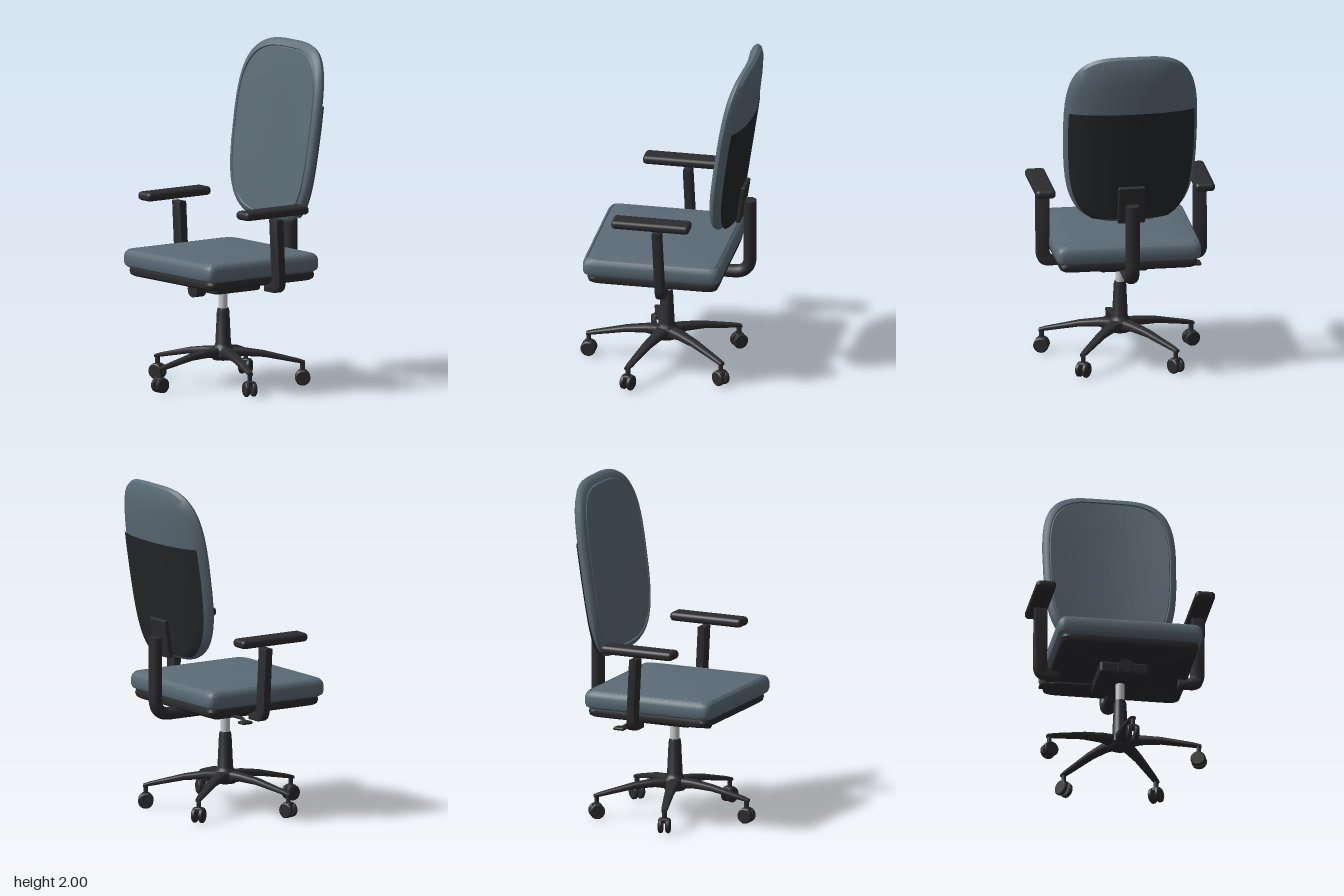
import * as THREE from 'three';
import { toCreasedNormals } from 'three/addons/utils/BufferGeometryUtils.js';
import { RoundedBoxGeometry } from 'three/addons/geometries/RoundedBoxGeometry.js';

const fabric = new THREE.MeshStandardMaterial({ color: 0x5b6b76 });
const plastic = new THREE.MeshStandardMaterial({ color: 0x2c2c2f });
const metal = new THREE.MeshStandardMaterial({ color: 0xcccccc });
const shell = new THREE.MeshStandardMaterial({ color: 0x252729, side: THREE.DoubleSide });

function add(parent, name, geometry, material, x = 0, y = 0, z = 0) {
  const mesh = new THREE.Mesh(geometry, material);
  mesh.name = name;
  mesh.position.set(x, y, z);
  parent.add(mesh);
  return mesh;
}

// Superellipse outline, counter-clockwise; a high power gives a rounded rectangle
function outline(a, b, power, count) {
  const bend = (c) => Math.sign(c) * Math.abs(c) ** (2 / power);
  return Array.from({ length: count }, (_, i) => {
    const t = ((i + 0.5) / count) * Math.PI * 2;
    return [a * bend(Math.cos(t)), b * bend(Math.sin(t))];
  });
}

// Skin over a row of equal rings of [x, y, z], closed at both ends
function loft(rings, crease = 0.6) {
  const n = rings[0].length, index = [], last = (rings.length - 1) * n;
  const mid = (ring) => [0, 1, 2].map((k) => ring.reduce((s, p) => s + p[k], 0) / n);
  const points = [...rings.flat(), mid(rings[0]), mid(rings.at(-1))];
  for (let j = 0; j < n; j++) {
    const k = (j + 1) % n;
    for (let i = 0; i < last; i += n) index.push(i + j, i + k, i + n + k, i + j, i + n + k, i + n + j);
    index.push(last + n, k, j, last + n + 1, last + j, last + k);
  }
  const g = new THREE.BufferGeometry();
  g.setAttribute('position', new THREE.Float32BufferAttribute(points.flat(), 3));
  g.setIndex(index);
  return toCreasedNormals(g, crease);
}

// Horizontal slab from [inset, y] steps, bottom to top
const slab = (a, b, steps) => loft(steps.map(([inset, y]) =>
  outline(a - inset, b - inset, 20, 64).map(([u, v]) => [u, y, -v])));

// Backrest sheet: leans back and wraps forward at the sides
const BACK = { a: 0.397, b: 0.5275, y: 1.4725, power: 3.5 };
const taper = (v) => 1 - 0.05 * Math.max(0, -v / BACK.b);
const sheet = (x, v) => -0.415 - 0.15 * v + 0.06 * (x / 0.4) ** 2;

function tube(points, radius) {
  const path = new THREE.CurvePath();
  const [p0, p1, p2, p3, p4] = points.map((p) => new THREE.Vector3(...p));
  path.add(new THREE.LineCurve3(p0, p1));
  path.add(new THREE.QuadraticBezierCurve3(p1, p2, p3));
  path.add(new THREE.LineCurve3(p3, p4));
  return new THREE.TubeGeometry(path, 48, radius, 16);
}

function makeBase() {
  const base = new THREE.Group();
  base.name = 'base';
  base.position.z = 0.03;
  const profile = [[0, 0.155], [0.06, 0.155], [0.072, 0.18], [0.068, 0.215], [0.05, 0.24],
    [0.046, 0.25], [0.037, 0.44], [0.032, 0.46], [0, 0.46]].map((p) => new THREE.Vector2(...p));
  add(base, 'column', toCreasedNormals(new THREE.LatheGeometry(profile, 32), 0.5), plastic);
  add(base, 'gasLift', new THREE.CylinderGeometry(0.027, 0.027, 0.13, 24), metal, 0, 0.515, 0);
  // [distance, centre height, half width, half height] along a spoke
  const steps = [[0.02, 0.195, 0.04, 0.036], [0.12, 0.2, 0.034, 0.025], [0.24, 0.188, 0.028, 0.019],
    [0.44, 0.145, 0.02, 0.013], [0.48, 0.135, 0.016, 0.01]];
  for (let i = 0; i < 5; i++) {
    const leg = new THREE.Group();
    leg.name = 'leg';
    leg.rotation.y = (i * Math.PI * 2) / 5;
    base.add(leg);
    add(leg, 'spoke', loft(steps.map(([z, y, w, h]) =>
      outline(w, h, 3, 16).map(([u, v]) => [u, y + v, z]))), plastic);
    add(leg, 'casterStem', new THREE.CylinderGeometry(0.014, 0.014, 0.08, 12), plastic, 0, 0.1, 0.465);
    add(leg, 'casterHood', new RoundedBoxGeometry(0.05, 0.03, 0.05, 2, 0.01), plastic, 0, 0.077, 0.465);
    for (const side of [-1, 1]) {
      const rim = [[0, -0.013], [0.038, -0.013], [0.045, -0.007], [0.045, 0.007], [0.038, 0.013], [0, 0.013]];
      const wheel = add(leg, 'wheel', toCreasedNormals(new THREE.LatheGeometry(
        rim.map((p) => new THREE.Vector2(...p)), 24), 0.5), plastic, side * 0.022, 0.046, 0.465);
      wheel.rotation.z = Math.PI / 2;
    }
  }
  return base;
}

function makeSeat() {
  const seat = new THREE.Group();
  seat.name = 'seat';
  add(seat, 'cushion', slab(0.43, 0.411, [[0.022, 0.69], [0.006, 0.702], [0, 0.72], [0, 0.76], [0.006, 0.78],
    [0.016, 0.793], [0.023, 0.796], [0.026, 0.79], [0.029, 0.796], [0.12, 0.803], [0.25, 0.809], [0.4, 0.812]]),
    fabric, 0, 0, 0.045);
  add(seat, 'seatPan', slab(0.43, 0.411, [[0.04, 0.64], [0.026, 0.65], [0.02, 0.672], [0.026, 0.692]]),
    plastic, 0, 0, 0.04);
  // Tilt mechanism under the seat
  add(seat, 'mechanism', new RoundedBoxGeometry(0.29, 0.075, 0.33, 2, 0.018), plastic, 0, 0.603, 0.025);
  const knob = add(seat, 'tensionKnob', new THREE.CylinderGeometry(0.045, 0.045, 0.07, 20), plastic, 0, 0.587, 0.222);
  knob.rotation.x = Math.PI / 2;
  add(seat, 'lever', tube([[-0.12, 0.61, -0.1], [-0.34, 0.61, -0.1], [-0.38, 0.61, -0.1],
    [-0.4, 0.602, -0.11], [-0.43, 0.598, -0.12]], 0.01), plastic);
  add(seat, 'leverPaddle', new RoundedBoxGeometry(0.06, 0.018, 0.07, 2, 0.008), plastic, -0.425, 0.597, -0.12);
  return seat;
}

function makeBackrest() {
  const back = new THREE.Group();
  back.name = 'backrest';
  // [inset, depth] from the back face round to the padded front
  const steps = [[0.38, -0.055], [0.3, -0.055], [0.2, -0.054], [0.12, -0.05], [0.05, -0.04], [0.012, -0.022],
    [0, 0], [0.004, 0.014], [0.016, 0.028], [0.036, 0.038], [0.041, 0.03], [0.046, 0.04],
    [0.12, 0.045], [0.2, 0.046], [0.3, 0.046], [0.38, 0.046]];
  add(back, 'backCushion', loft(steps.map(([inset, d]) =>
    outline(BACK.a - inset, BACK.b - inset * (inset > 0.05 ? 1.3 : 1.1), BACK.power, 64).map(([u, v]) => {
      const x = u * taper(v);
      return [x, BACK.y + v, sheet(x, v) + d];
    }))), fabric);
  // Dark shell wrapped over the lower back
  const panel = new THREE.PlaneGeometry(2, 1, 28, 24), p = panel.attributes.position;
  for (let i = 0; i < p.count; i++) {
    const u = p.getX(i), v = -0.495 + (p.getY(i) + 0.5) * 0.67;
    const half = BACK.a * (1 - Math.abs(v / BACK.b) ** BACK.power) ** (1 / BACK.power);
    const x = u * 0.94 * half * taper(v);
    p.setXYZ(i, x, BACK.y + v, sheet(x, v) - 0.061 + 0.022 * u ** 6);
  }
  panel.computeVertexNormals();
  add(back, 'backShell', panel, shell);
  add(back, 'mountPlate', new RoundedBoxGeometry(0.16, 0.23, 0.03, 2, 0.008), plastic, 0, 1.07, -0.424)
    .rotation.x = -0.148;
  // Bent support bar from the mechanism up to the plate
  const bar = add(back, 'supportBar', tube([[0, 0.612, -0.1], [0, 0.612, -0.37], [0, 0.612, -0.467],
    [0, 0.71, -0.467], [0, 1.075, -0.467]], 0.038), plastic);
  bar.scale.x = 1.12;
  const cap = add(back, 'supportBarCap', new THREE.CylinderGeometry(0.038, 0.038, 0.004, 16), plastic, 0, 1.073, -0.467);
  cap.scale.x = 1.12;
  return back;
}

function makeArmrest(side) {
  const arm = new THREE.Group();
  arm.name = side > 0 ? 'leftArmrest' : 'rightArmrest';
  const s = new THREE.Shape();
  s.moveTo(side * 0.505, 1.035);
  s.lineTo(side * 0.505, 0.68);
  s.quadraticCurveTo(side * 0.505, 0.597, side * 0.43, 0.597);
  s.lineTo(side * 0.35, 0.597);
  s.lineTo(side * 0.35, 0.65);
  s.lineTo(side * 0.4, 0.65);
  s.quadraticCurveTo(side * 0.426, 0.655, side * 0.426, 0.69);
  s.lineTo(side * 0.426, 1.035);
  const post = new THREE.ExtrudeGeometry(s, { depth: 0.036, bevelThickness: 0.007, bevelSize: 0.006,
    bevelOffset: -0.006, bevelSegments: 2, curveSegments: 10 });
  const p = post.attributes.position;
  // Lean the post slightly
  for (let i = 0; i < p.count; i++) p.setZ(i, p.getZ(i) - 0.018 - 0.025 + (p.getY(i) - 0.6) * 0.05);
  add(arm, 'armPost', toCreasedNormals(post, 0.6), plastic);
  add(arm, 'armPad', new RoundedBoxGeometry(0.118, 0.052, 0.465, 4, 0.023), plastic, side * 0.471, 1.08, 0.027);
  return arm;
}

export function createModel() {
  const chair = new THREE.Group();
  chair.name = 'officeChair';
  chair.add(makeBase(), makeSeat(), makeBackrest(), makeArmrest(1), makeArmrest(-1));
  return chair;
}
